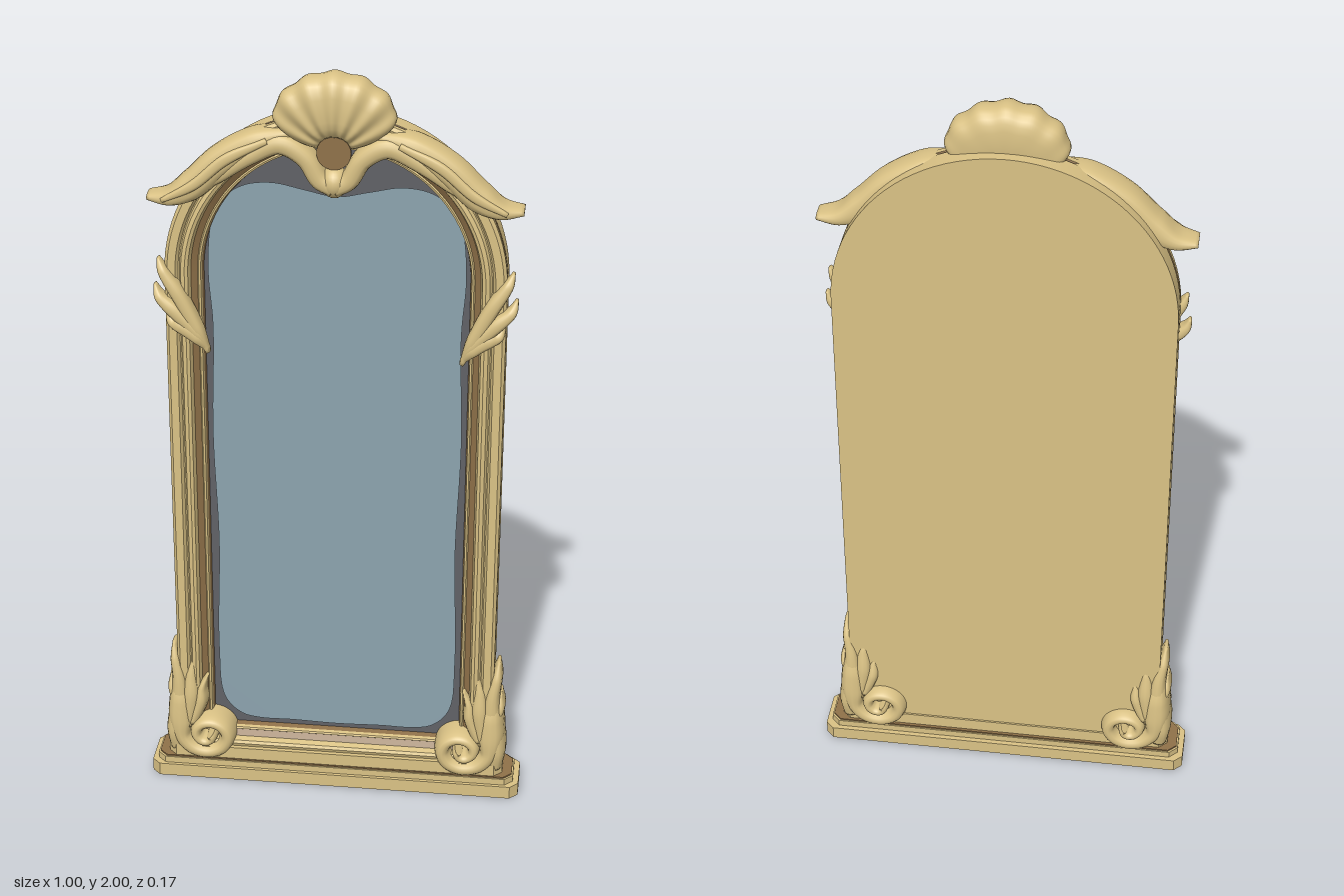
import * as THREE from 'three';
import { toCreasedNormals } from 'three/addons/utils/BufferGeometryUtils.js';

const makeMaterial = (name, color) => {
  const m = new THREE.MeshStandardMaterial({ color });
  m.name = name;
  return m;
};

// Closed skin over equal-sized rings of points, capped at both ends
function loft(rings) {
  const n = rings[0].length, pos = [], idx = [];
  rings.forEach(r => r.forEach(p => pos.push(p.x, p.y, p.z)));
  for (let i = 0; i < rings.length - 1; i++) {
    for (let j = 0; j < n; j++) {
      const k = (j + 1) % n;
      const a = i * n + j, b = i * n + k, c = b + n, d = a + n;
      idx.push(a, b, c, a, c, d);
    }
  }
  [0, rings.length - 1].forEach((ri, end) => {
    const c = rings[ri].reduce((s, p) => s.add(p), new THREE.Vector3()).divideScalar(n);
    const ci = pos.length / 3;
    pos.push(c.x, c.y, c.z);
    for (let j = 0; j < n; j++) {
      const a = ri * n + j, b = ri * n + (j + 1) % n;
      if (end) idx.push(ci, a, b); else idx.push(ci, b, a);
    }
  });
  const g = new THREE.BufferGeometry();
  g.setAttribute('position', new THREE.Float32BufferAttribute(pos, 3));
  g.setIndex(idx);
  g.computeVertexNormals();
  return g;
}

// Slightly boxy oval
const soft = v => Math.sign(v) * Math.pow(Math.abs(v), 0.75);

// Carved scroll or leaf: rows are [x, y, half width, half depth, centre z]
function limb(rows, side) {
  const path = new THREE.CatmullRomCurve3(rows.map(r => new THREE.Vector3(side * r[0], r[1], 0)));
  const size = new THREE.CatmullRomCurve3(rows.map(r => new THREE.Vector3(r[2], r[3], r[4])));
  const steps = rows.length * 6, rings = [];
  for (let i = 0; i <= steps; i++) {
    const t = i / steps, p = path.getPoint(t), q = path.getTangent(t), s = size.getPoint(t);
    const ring = [];
    for (let j = 0; j < 20; j++) {
      const a = j / 20 * Math.PI * 2, w = s.x * soft(Math.cos(a));
      ring.push(new THREE.Vector3(p.x - q.y * w, p.y + q.x * w, s.z + s.y * soft(Math.sin(a))));
    }
    rings.push(ring);
  }
  return loft(rings);
}

// Arched outline, inset by d
function outline(d) {
  const r = 0.425 - d, pts = [[-r, 0.05 + d], [r, 0.05 + d]];
  for (let i = 0; i <= 48; i++) {
    const a = i / 48 * Math.PI;
    pts.push([r * Math.cos(a), 1.47 + r * Math.sin(a)]);
  }
  return pts;
}
const shapeOf = pts => new THREE.Shape(pts.map(p => new THREE.Vector2(p[0], p[1])));

// Moulding swept round the outline; profile rows are [inset, z]
function moulding(profile) {
  const pos = [];
  for (let k = 0; k < profile.length - 1; k++) {
    const [d0, z0] = profile[k], [d1, z1] = profile[k + 1];
    const A = outline(d0), B = outline(d1);
    for (let i = 0; i < A.length; i++) {
      const j = (i + 1) % A.length;
      pos.push(...A[i], z0, ...A[j], z0, ...B[j], z1, ...A[i], z0, ...B[j], z1, ...B[i], z1);
    }
  }
  const g = new THREE.BufferGeometry();
  g.setAttribute('position', new THREE.Float32BufferAttribute(pos, 3));
  return toCreasedNormals(g, 0.5);
}

// Plinth slab with cut corners
function slab(w, zb, zf, y0, y1) {
  const c = 0.022;
  const s = shapeOf([[-w + c, -zf], [w - c, -zf], [w, -zf + c], [w, -zb - c],
    [w - c, -zb], [-w + c, -zb], [-w, -zb - c], [-w, -zf + c]]);
  const g = new THREE.ExtrudeGeometry(s, { depth: y1 - y0, bevelEnabled: false });
  return g.rotateX(-Math.PI / 2).translate(0, y0, 0);
}

// Ribbed fan shell
function shell() {
  const rings = [];
  for (let i = 0; i <= 72; i++) {
    const u = i / 36 - 1, a = u * 1.25, rib = Math.cos(u * Math.PI * 7);
    const R = 0.197 - 0.02 * u * u - 0.075 * Math.pow(u, 10) + 0.003 * rib;
    const rc = (R + 0.04) / 2, rr = (R - 0.04) / 2, ring = [];
    for (let j = 0; j < 24; j++) {
      const b = j / 24 * Math.PI * 2, sn = soft(Math.sin(b));
      const r = rc + rr * soft(Math.cos(b));
      const depth = sn > 0 ? 0.056 - 0.028 * u * u + 0.003 * rib : 0.052 - 0.012 * u * u;
      ring.push(new THREE.Vector3(r * Math.sin(a), 1.803 + r * Math.cos(a), 0.027 + depth * sn));
    }
    rings.push(ring);
  }
  return loft(rings);
}

// Foot volute: descends the outer side, then curls in
function voluteRows() {
  const rows = [[0.425, 0.3, 0.015, 0.045, -0.008], [0.42, 0.23, 0.034, 0.065, -0.008],
    [0.42, 0.17, 0.038, 0.07, -0.008]];
  for (let i = 0; i <= 14; i++) {
    const t = i / 14, a = -0.25 - t * 9.5, r = 0.064 * (1 - t) + 0.008;
    rows.push([0.345 + r * Math.cos(a), 0.13 + r * Math.sin(a) * 0.9,
      0.026 - 0.012 * t, 0.07 + 0.01 * t, -0.008]);
  }
  return rows;
}

export function createModel() {
  const root = new THREE.Group();
  root.name = 'standingMirror';
  const gold = makeMaterial('paleGold', 0xdac285);
  const brown = makeMaterial('agedBrown', 0x8f7149);
  const grey = makeMaterial('darkGreyEdge', 0x606166);
  const glass = makeMaterial('mirrorGlass', 0x8ca3ae);
  const add = (name, geometry, material) => {
    const m = new THREE.Mesh(geometry, material);
    m.name = name;
    root.add(m);
    return m;
  };

  // Plinth
  add('plinthBase', slab(0.5, -0.08, 0.066, 0, 0.036), gold);
  add('plinthStep', slab(0.485, -0.067, 0.057, 0.036, 0.054), gold);
  add('plinthLedge', slab(0.481, -0.063, 0.053, 0.054, 0.058), brown);
  add('plinthTop', slab(0.455, -0.055, 0.05, 0.058, 0.092), gold);

  // Back board and stepped frame
  const board = new THREE.ExtrudeGeometry(shapeOf(outline(0)), { depth: 0.034, bevelEnabled: false });
  add('backBoard', toCreasedNormals(board.translate(0, 0, -0.05), 0.5), gold);
  add('frameSide', moulding([[0, -0.016], [0, 0.006]]), gold);
  add('frameGroove', moulding([[0, 0.006], [0.006, 0.008], [0.006, 0.013], [0, 0.015]]), brown);
  add('frameFront', moulding([[0, 0.015], [0, 0.03], [0.008, 0.038], [0.028, 0.038], [0.034, 0.028],
    [0.037, 0.028], [0.042, 0.038], [0.052, 0.042], [0.06, 0.038], [0.065, 0.022]]), gold);
  add('frameHollow', moulding([[0.065, 0.022], [0.08, 0.012]]), brown);
  add('frameBead', moulding([[0.08, 0.012], [0.083, 0.016], [0.088, 0.014], [0.09, 0.004]]), gold);
  add('frameInnerEdge', moulding([[0.09, 0.004], [0.093, -0.014]]), brown);

  // Mirror: dark edge and wavy-edged glass
  const edge = new THREE.ShapeGeometry(shapeOf(outline(0.088)));
  add('mirrorEdge', edge.translate(0, 0, -0.012), grey);
  const half = [[0.12, 0.158], [0.21, 0.158], [0.26, 0.17], [0.305, 0.22], [0.318, 0.38], [0.311, 0.7],
    [0.32, 1.02], [0.313, 1.32], [0.322, 1.47], [0.31, 1.6], [0.28, 1.66], [0.23, 1.695],
    [0.16, 1.705], [0.08, 1.69]];
  const loop = [...half, [0, 1.675], ...half.map(([x, y]) => [-x, y]).reverse(), [0, 0.155]];
  const wave = new THREE.CatmullRomCurve3(loop.map(p => new THREE.Vector3(p[0], p[1], 0)), true);
  const pane = new THREE.ShapeGeometry(shapeOf(wave.getPoints(160).slice(0, -1).map(p => [p.x, p.y])));
  add('mirrorGlass', pane.translate(0, 0, -0.008), glass);

  // Crest
  add('crestShell', shell(), gold);
  const hollow = new THREE.CylinderGeometry(0.042, 0.042, 0.008, 32).rotateX(Math.PI / 2);
  add('crestHollow', hollow.translate(0, 1.805, 0.043), brown);
  const drop = new THREE.SphereGeometry(1, 24, 16).scale(0.035, 0.04, 0.04);
  add('crestDrop', drop.translate(0, 1.728, 0.03), gold);

  const volute = voluteRows();
  for (const side of [1, -1]) {
    const tag = side > 0 ? 'left' : 'right';
    const carve = (name, rows) => add(tag + name, limb(rows, side), gold);

    // Crest scroll and the broad leaf over the arch
    carve('CrestScroll', [[0, 1.715, 0.022, 0.035, 0.03], [0.035, 1.735, 0.024, 0.036, 0.03],
      [0.07, 1.79, 0.025, 0.04, 0.028], [0.13, 1.823, 0.028, 0.045, 0.024],
      [0.2, 1.792, 0.024, 0.042, 0.026], [0.28, 1.735, 0.018, 0.036, 0.026],
      [0.335, 1.69, 0.005, 0.02, 0.026]]);
    carve('CrestLeaf', [[0.1, 1.85, 0.012, 0.03, 0.02], [0.19, 1.826, 0.03, 0.046, 0.022],
      [0.28, 1.768, 0.038, 0.046, 0.024], [0.35, 1.704, 0.036, 0.046, 0.024],
      [0.405, 1.674, 0.022, 0.044, 0.022], [0.46, 1.671, 0.009, 0.03, 0.018]]);
    carve('CrestLeafRib', [[0.16, 1.835, 0.008, 0.012, 0.06], [0.26, 1.785, 0.014, 0.014, 0.064],
      [0.34, 1.717, 0.013, 0.014, 0.064], [0.42, 1.672, 0.006, 0.01, 0.058]]);

    // Three fronds on the upright
    [[0.44, 1.51, 0.39, 1.42], [0.45, 1.44, 0.4, 1.375], [0.42, 1.375, 0.385, 1.335]].forEach(([x, y, mx, my], i) => {
      carve('SideFrond' + (i + 1), [[0.318, 1.265 + i * 0.004, 0.006, 0.012, 0.035],
        [0.345, 1.33 - i * 0.012, 0.017, 0.024, 0.038], [mx, my, 0.019, 0.026, 0.037],
        [x - 0.012, y - 0.03, 0.014, 0.022, 0.032], [x, y, 0.004, 0.01, 0.026]]);
    });

    // Foot volute with rising acanthus leaves
    carve('FootVolute', volute);
    carve('FootLeafOuter', [[0.43, 0.075, 0.025, 0.055, -0.008], [0.435, 0.13, 0.028, 0.064, -0.008],
      [0.422, 0.21, 0.03, 0.062, -0.008], [0.422, 0.29, 0.022, 0.056, -0.006],
      [0.432, 0.35, 0.016, 0.045, -0.004], [0.437, 0.395, 0.005, 0.022, -0.002]]);
    carve('FootLeafMiddle', [[0.4, 0.15, 0.02, 0.06, -0.008], [0.39, 0.24, 0.026, 0.062, -0.006],
      [0.388, 0.31, 0.018, 0.05, -0.004], [0.378, 0.358, 0.005, 0.035, 0]]);
    carve('FootLeafInner', [[0.39, 0.16, 0.02, 0.06, -0.008], [0.365, 0.225, 0.02, 0.06, -0.006],
      [0.36, 0.27, 0.013, 0.05, -0.002], [0.345, 0.305, 0.004, 0.035, 0]]);
    carve('FootLeafBarb', [[0.425, 0.2, 0.012, 0.045, -0.006], [0.442, 0.25, 0.014, 0.045, -0.006],
      [0.445, 0.3, 0.004, 0.025, -0.004]]);
  }
  return root;
}
